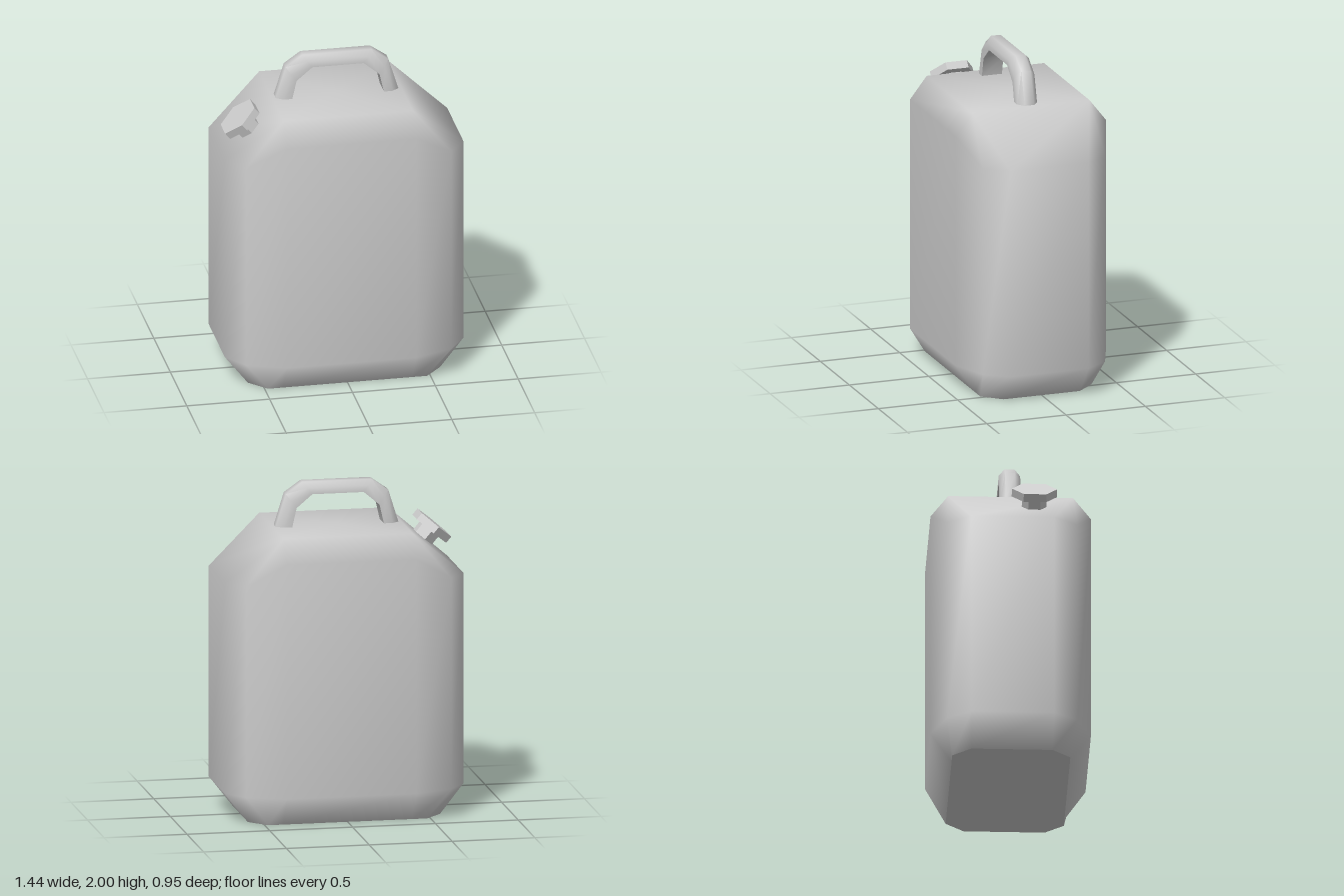
import * as THREE from 'three';
import { mergeVertices, toCreasedNormals } from 'three/addons/utils/BufferGeometryUtils.js';

const grey = (flatShading = false) => new THREE.MeshStandardMaterial({ color: 0xcccccc, flatShading });

function part(name, geometry, material) {
  const mesh = new THREE.Mesh(geometry, material);
  mesh.name = name;
  return mesh;
}

// Mirrors three corner points [x, y, z] into a closed ring of twelve.
function ring(corner) {
  const back = [...corner].reverse();
  const flip = (pts, sx, sz) => pts.map(([x, y, z]) => new THREE.Vector3(x * sx, y, z * sz));
  return [...flip(corner, 1, 1), ...flip(back, 1, -1), ...flip(corner, -1, -1), ...flip(back, -1, 1)];
}

// Collects triangles, leaving out those collapsed to a line.
function triangles(list) {
  const kept = list.filter(([a, b, c]) => !a.equals(b) && !b.equals(c) && !c.equals(a));
  return new THREE.BufferGeometry().setFromPoints(kept.flat());
}

// Joins successive rings with quads.
function skin(rings) {
  const tris = [];
  for (let r = 0; r < rings.length - 1; r++) {
    const low = rings[r], high = rings[r + 1], n = low.length;
    for (let i = 0; i < n; i++) {
      const j = (i + 1) % n;
      tris.push([low[i], low[j], high[j]], [low[i], high[j], high[i]]);
    }
  }
  return tris;
}

function fan(points, flip) {
  const c = points.reduce((s, p) => s.add(p), new THREE.Vector3()).divideScalar(points.length);
  return points.map((p, i) => {
    const q = points[(i + 1) % points.length];
    return flip ? [c, q, p] : [c, p, q];
  });
}

export function createModel() {
  const model = new THREE.Group();
  model.name = 'jerrycan';

  // Body: chamfered base, straight walls, sloping shoulders, flat top
  const base = ring([[0.39, 0, 0.35], [0.48, 0, 0.35], [0.58, 0, 0.24]]);
  const top = ring([[0.39, 1.735, 0.37], [0.39, 1.735, 0.37], [0.39, 1.735, 0.37]]);
  const rings = [
    base,
    ring([[0.39, 0.18, 0.475], [0.62, 0.18, 0.385], [0.72, 0.18, 0.245]]),
    ring([[0.39, 1.6, 0.475], [0.62, 1.455, 0.385], [0.72, 1.455, 0.245]]),
    top,
  ];
  const shell = mergeVertices(triangles([...skin(rings), ...fan(top, false)]));
  shell.computeVertexNormals();
  model.add(part('body', shell, grey()));

  const bottom = triangles(fan(base, true));
  bottom.computeVertexNormals();
  model.add(part('bottom', bottom, grey()));

  // Handle: outer and inner path points, section rounded on the outside only
  const half = [
    [[-0.375, 1.72], [-0.28, 1.72]],
    [[-0.31, 1.93], [-0.25, 1.85]],
    [[-0.21, 2.0], [-0.155, 1.93]],
  ];
  const mirrored = [...half].reverse().map((pair) => pair.map(([x, y]) => [-x, y]));
  const section = [[0, 0.03], [0.45, 0.063], [1, 0.063], [1, -0.063], [0.45, -0.063], [0, -0.03]];
  const stations = [...half, ...mirrored].map(([o, i]) => section.map(([t, z]) =>
    new THREE.Vector3(o[0] + (i[0] - o[0]) * t, o[1] + (i[1] - o[1]) * t, z)));
  const grip = triangles(skin(stations).map(([a, b, c]) => [a, c, b]));
  // Make sure the faces point outward
  const p = grip.attributes.position;
  let volume = 0;
  const [a, b, c] = [0, 1, 2].map(() => new THREE.Vector3());
  const centre = new THREE.Vector3(0, 1.72, 0);
  for (let i = 0; i < p.count; i += 3) {
    [a, b, c].forEach((v, k) => v.fromBufferAttribute(p, i + k).sub(centre));
    volume += a.dot(b.cross(c));
  }
  if (volume < 0) {
    for (let i = 0; i < p.count; i += 3) {
      b.fromBufferAttribute(p, i + 1);
      c.fromBufferAttribute(p, i + 2);
      p.setXYZ(i + 1, c.x, c.y, c.z);
      p.setXYZ(i + 2, b.x, b.y, b.z);
    }
  }
  model.add(part('handle', toCreasedNormals(grip, Math.PI / 3), grey()));

  // Spout: six-sided neck and cap, square to the right shoulder
  const spout = new THREE.Group();
  spout.name = 'spout';
  const cap = part('cap', new THREE.CylinderGeometry(0.134, 0.134, 0.048, 6), grey(true));
  const neck = part('neck', new THREE.CylinderGeometry(0.073, 0.073, 0.12, 6), grey(true));
  neck.position.y = -0.06;
  spout.add(cap, neck);
  spout.position.set(-0.605, 1.665, 0.132);
  spout.rotation.z = 0.704;
  model.add(spout);

  return model;
}
